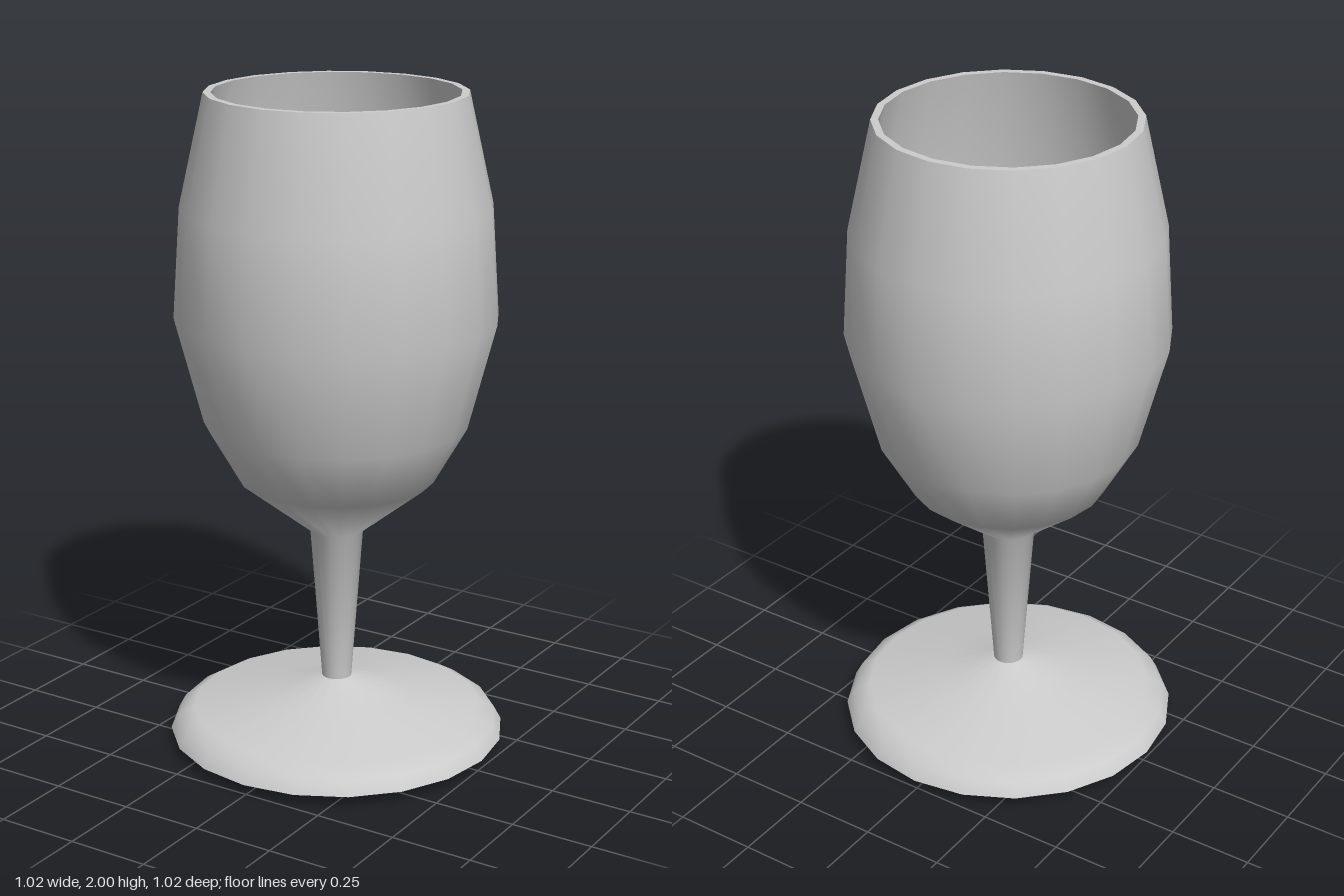
import * as THREE from 'three';

const SIDES = 20;

export function createModel() {
  const goblet = new THREE.Group();
  goblet.name = 'goblet';
  const material = new THREE.MeshStandardMaterial({ color: 0xcccccc });

  // Turns a [radius, height] profile; separate parts keep sharp edges between them
  function turned(name, profile) {
    const points = profile.map(([r, y]) => new THREE.Vector2(r, y));
    const mesh = new THREE.Mesh(new THREE.LatheGeometry(points, SIDES), material);
    mesh.name = name;
    goblet.add(mesh);
  }

  const footEdge = [0.512, 0.035];
  const stemBottom = [0.045, 0.2];
  const stemTop = [0.08, 0.675];
  const rimOuter = [0.382, 2];
  const rimInner = [0.36, 2];

  // Shallow cone under the foot
  turned('footUnderside', [[0, 0], footEdge]);

  // Foot with a bevelled edge, rising to the stem
  turned('foot', [footEdge, [0.49, 0.075], [0.44, 0.105], [0.23, 0.14], stemBottom]);

  // Stem flaring into the outside of the bowl, one smooth surface
  turned('stemAndBowl', [
    stemBottom, stemTop, [0.295, 0.845], [0.395, 1.02],
    [0.478, 1.34], [0.456, 1.67], rimOuter,
  ]);

  // Flat lip and hollow inside, running from the rim down to the centre
  turned('rim', [rimOuter, rimInner]);
  turned('bowlInside', [
    rimInner, [0.435, 1.67], [0.456, 1.34], [0.374, 1.03],
    [0.28, 0.865], [0.07, 0.71], [0, 0.7],
  ]);

  return goblet;
}
